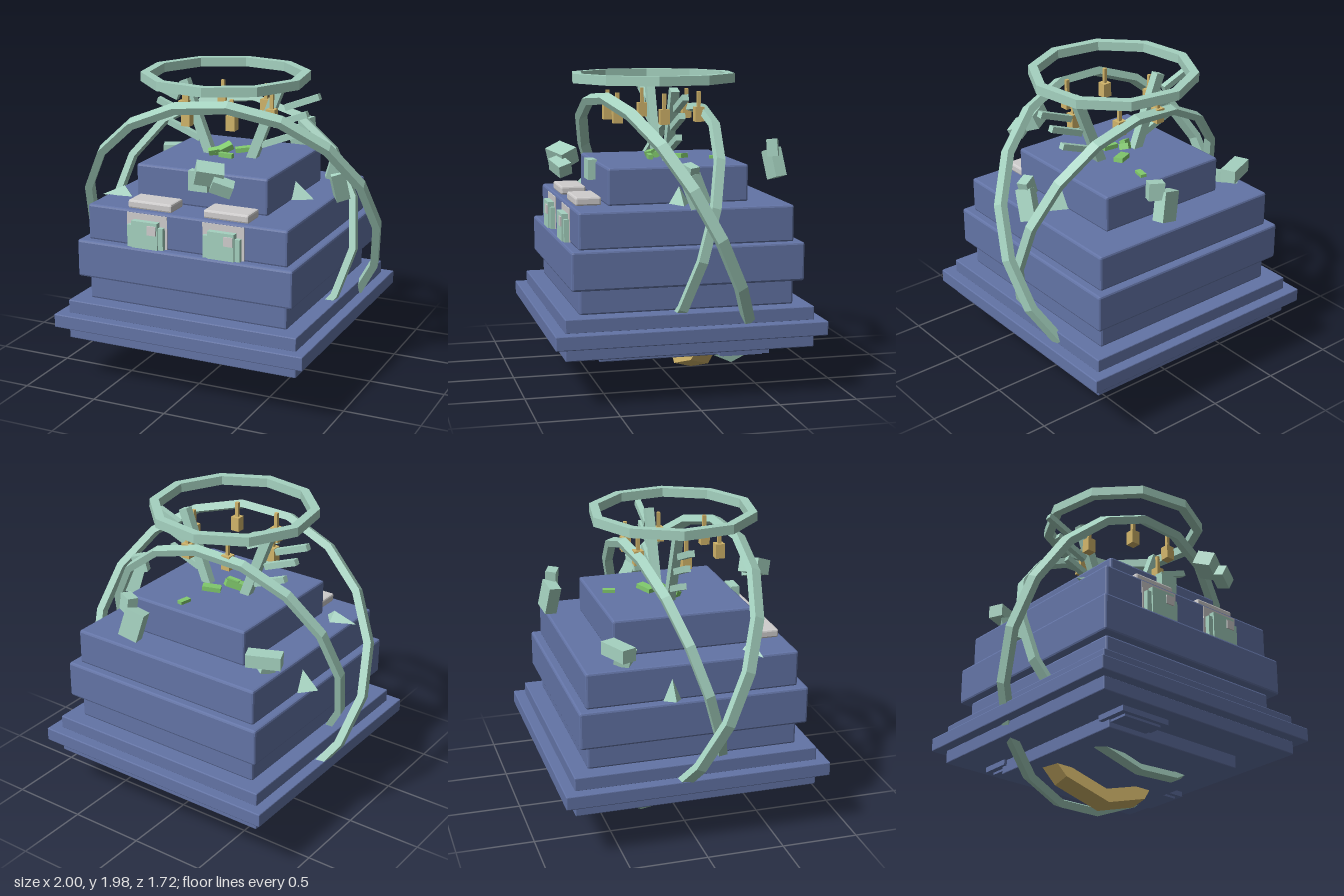
import * as THREE from 'three';
import { RoundedBoxGeometry } from 'three/addons/geometries/RoundedBoxGeometry.js';
import { ConvexGeometry } from 'three/addons/geometries/ConvexGeometry.js';

const material = (name, color) => {
  const m = new THREE.MeshStandardMaterial({ color, flatShading: true });
  m.name = name;
  return m;
};

export function createModel() {
  const model = new THREE.Group();
  model.name = 'steppedShrine';
  const blue = material('slateBlue', 0x6374a6);
  const teal = material('paleTeal', 0xa5d2c0);
  const gold = material('gold', 0xd2b56a);
  const green = material('green', 0x82cb6e);
  const grey = material('lightGrey', 0xcfcdcd);

  const add = (name, geometry, mat, pos = [0, 0, 0], rot = [0, 0, 0]) => {
    const mesh = new THREE.Mesh(geometry, mat);
    mesh.name = name;
    mesh.position.set(...pos);
    mesh.rotation.set(...rot);
    model.add(mesh);
    return mesh;
  };
  const box = (name, mat, size, pos, rot) => add(name, new THREE.BoxGeometry(...size), mat, pos, rot);
  const rounded = (name, mat, size, r, pos) => add(name, new RoundedBoxGeometry(...size, 1, r), mat, pos);

  // Faceted ring with a rectangular section, lying in the local xz plane
  const ringGeometry = (outer, thick, width, sides, start = 0) => {
    const i = outer - thick, h = width / 2;
    const profile = [[outer, -h], [outer, h], [i, h], [i, -h], [outer, -h]];
    return new THREE.LatheGeometry(profile.map(p => new THREE.Vector2(...p)), sides, start);
  };

  // Stepped body: half width, bottom, top
  const tiers = [
    [0.53, 0.21, 0.30], [0.79, 0.295, 0.385], [0.86, 0.38, 0.47], [0.79, 0.465, 0.555],
    [0.685, 0.55, 0.715], [0.74, 0.71, 0.955], [0.685, 0.95, 1.185], [0.455, 1.18, 1.42],
  ];
  tiers.forEach(([h, y0, y1], i) =>
    rounded('tier' + (i + 1), blue, [2 * h, y1 - y0, 2 * h], i > 3 ? 0.014 : 0.006, [0, (y0 + y1) / 2, 0]));

  // Small stepped pads under the base
  for (const [x, z, w, d] of [[-0.38, 0.58, 0.36, 0.22], [0.61, -0.35, 0.26, 0.32], [-0.38, -0.58, 0.34, 0.2]]) {
    box('basePad', blue, [w, 0.04, d], [x, 0.28, z]);
    box('basePadStep', blue, [w - 0.08, 0.06, d - 0.06], [x, 0.275, z]);
  }

  // Front consoles with lids
  for (const x of [-0.262, 0.262]) {
    box('consolePanel', grey, [0.28, 0.215, 0.012], [x, 1.062, 0.684]);
    box('consoleBody', teal, [0.25, 0.145, 0.04], [x, 1.025, 0.7]);
    box('consoleFace', teal, [0.18, 0.175, 0.05], [x, 1.042, 0.705]);
    box('consoleButton', grey, [0.06, 0.06, 0.02], [x + 0.053, 1.08, 0.728]);
    rounded('consoleLid', grey, [0.305, 0.055, 0.165], 0.012, [x, 1.21, 0.57]);
  }

  // Two large tilted rings crossing through the body
  const orbit = (name, geometry, uArr, vArr) => {
    const u = new THREE.Vector3(...uArr).normalize();
    const v = new THREE.Vector3(...vArr);
    v.addScaledVector(u, -v.dot(u)).normalize();
    const n = new THREE.Vector3().crossVectors(v, u);
    add(name, geometry, teal, [0, 0.95, 0]).quaternion.setFromRotationMatrix(new THREE.Matrix4().makeBasis(u, n, v));
  };
  orbit('outerRing', ringGeometry(1.005, 0.05, 0.07, 18, Math.PI / 36), [0.98, 0, -0.17], [0.075, 0.9, 0.43]);
  orbit('innerRing', ringGeometry(0.87, 0.045, 0.06, 16, Math.PI / 36), [0.99, 0, -0.08], [-0.024, 0.95, -0.29]);

  // Flat halo and the gold ring showing below the base
  add('halo', ringGeometry(0.545, 0.06, 0.06, 10, Math.PI / 20), teal, [-0.01, 1.953, 0.06]);
  add('goldRing', ringGeometry(0.56, 0.1, 0.12, 10), gold, [0, 0.556, -0.285], [Math.PI / 2 - 0.25, 0, 0]);

  // Leaning posts with side vanes
  const beam = (name, a, b, w, d) => {
    const dx = b[0] - a[0], dy = b[1] - a[1];
    box(name, teal, [Math.hypot(dx, dy), w, d], [(a[0] + b[0]) / 2, (a[1] + b[1]) / 2, 0], [0, 0, Math.atan2(dy, dx)]);
  };
  for (const s of [-1, 1]) {
    beam('leaningPost', [s * 0.14, 1.39], [s * 0.335, 1.89], 0.065, 0.055);
    for (const [x, y] of [[0.61, 1.86], [0.53, 1.74], [0.45, 1.6]])
      beam('sideVane', [s * (x - 0.23), y - 0.09], [s * x, y], 0.04, 0.04);
  }

  // Six hanging lamps in a circle under the halo
  for (let i = 0; i < 6; i++) {
    const a = i * Math.PI / 3, x = 0.31 * Math.cos(a), z = 0.06 + 0.31 * Math.sin(a);
    box('lamp', gold, [0.06, 0.095, 0.06], [x, 1.718, z]);
    box('lampRod', gold, [0.022, 0.11, 0.022], [x, 1.81, z]);
  }

  // Green shards on the summit
  for (const [w, h, d, x, y, z, rx, ry, rz] of [
    [0.12, 0.03, 0.06, 0.05, 1.44, -0.1, 0, 0.5, 0.1],
    [0.13, 0.04, 0.06, -0.06, 1.45, 0, 0.3, 0.8, 0.2],
    [0.1, 0.03, 0.03, 0, 1.435, 0.08, 0, -0.1, 0],
    [0.04, 0.02, 0.08, 0.09, 1.43, -0.34, 0, -0.2, 0],
    [0.07, 0.05, 0.04, -0.1, 1.44, 0.05, 0.4, 0.5, 0],
  ]) box('summitShard', green, [w, h, d], [x, y, z], [rx, ry, rz]);

  // Floating blocks around the upper tiers
  for (const [w, h, d, x, y, z, rx, ry, rz] of [
    [0.17, 0.1, 0.12, 0.17, 1.48, 0.69, 0.4, 0.4, -0.35],
    [0.13, 0.08, 0.09, 0.27, 1.42, 0.72, 0.3, 0.3, -0.45],
    [0.13, 0.19, 0.08, 0.2, 1.39, -0.71, 0.1, 0.2, 0.25],
    [0.1, 0.11, 0.07, 0.26, 1.5, -0.68, 0.1, -0.4, 0.1],
    [0.22, 0.085, 0.1, -0.61, 1.285, -0.46, 0, 0.4, 0],
    [0.14, 0.07, 0.1, -0.58, 1.23, -0.41, 0.3, -0.5, 0.3],
    [0.09, 0.2, 0.1, 0.74, 1.3, -0.03, 0.3, 0.6, 0.1],
    [0.09, 0.12, 0.07, 0.72, 1.4, 0, 0.1, 0.4, -0.3],
    [0.13, 0.13, 0.06, 0, 1.365, 0.475, 0, 0, 0],
  ]) box('floatingBlock', teal, [w, h, d], [x, y, z], [rx, ry, rz]);

  // Pointed wedges resting against the tiers
  const wedge = (...pts) => add('wedge', new ConvexGeometry(pts.map(p => new THREE.Vector3(...p))), teal);
  wedge([0.45, 1.3, 0.0], [0.45, 1.18, 0.07], [0.45, 1.18, -0.07], [0.59, 1.18, 0]);
  wedge([-0.68, 1.1, -0.14], [-0.68, 0.95, -0.08], [-0.68, 0.95, -0.2], [-0.81, 0.99, -0.15]);
  wedge([-0.72, 1.18, 0.44], [-0.5, 1.19, 0.44], [-0.57, 1.19, 0.35], [-0.57, 1.25, 0.41]);
  wedge([-0.07, 1.3, 0.45], [0.07, 1.3, 0.45], [0, 1.42, 0.45], [0, 1.3, 0.51]);

  return model;
}
